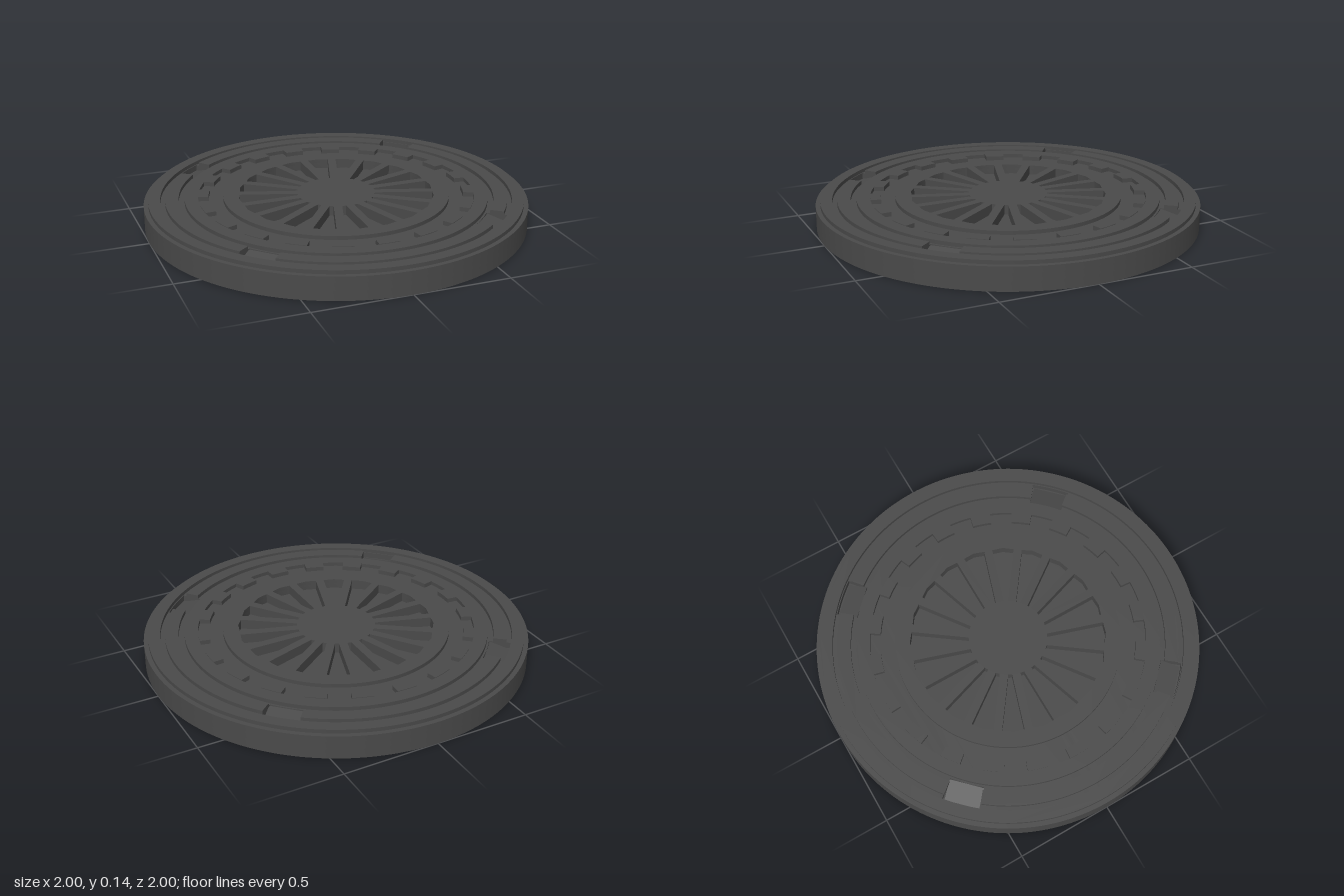
import * as THREE from 'three';
import { toCreasedNormals } from 'three/addons/utils/BufferGeometryUtils.js';

const iron = new THREE.MeshStandardMaterial({ color: 0x4a4a4a });
iron.name = 'dark cast iron';

const TAU = Math.PI * 2;
const BED = 0.122; // level of the channels between the raised rings

// Extrudes a plan outline upward from y0 to y1.
function slab(name, shape, y0, y1, segments = 64) {
  let geo = new THREE.ExtrudeGeometry(shape, { depth: y1 - y0, bevelEnabled: false, curveSegments: segments });
  geo.rotateX(-Math.PI / 2);
  geo.translate(0, y0, 0);
  geo = toCreasedNormals(geo, 0.5);
  const mesh = new THREE.Mesh(geo, iron);
  mesh.name = name;
  return mesh;
}

function disc(r) {
  const s = new THREE.Shape();
  s.absarc(0, 0, r, 0, TAU, false);
  return s;
}

function ring(r0, r1) {
  const s = disc(r1);
  s.holes.push(disc(r0));
  return s;
}

// Curved bar between two radii, centred on an angle.
function arcBar(r0, r1, mid, half) {
  const s = new THREE.Shape();
  s.absarc(0, 0, r1, mid - half, mid + half, false);
  s.absarc(0, 0, r0, mid + half, mid - half, true);
  s.closePath();
  return s;
}

// Tapered opening between two spokes of even width.
function spokeGap(angle) {
  const rib = 0.022;
  const step = Math.PI / 20;
  const at = (r, sign) => {
    const a = angle + sign * (step - Math.asin(rib / r));
    return new THREE.Vector2(r * Math.cos(a), r * Math.sin(a));
  };
  return new THREE.Shape([at(0.205, -1), at(0.505, -1), at(0.512, 0), at(0.505, 1), at(0.205, 1)]);
}

function rect(x0, z0, x1, z1) {
  return new THREE.Shape([
    new THREE.Vector2(x0, z0), new THREE.Vector2(x1, z0),
    new THREE.Vector2(x1, z1), new THREE.Vector2(x0, z1)]);
}

export function createModel() {
  const cover = new THREE.Group();
  cover.name = 'manholeCover';

  const gaps = Array.from({ length: 20 }, (_, i) => spokeGap((i + 0.5) * TAU / 20));
  const diagonals = [0, 1, 2, 3].map(i => Math.PI / 4 + i * Math.PI / 2);

  // Underside with two long grooves
  const underside = disc(1);
  for (const x of [-0.64, 0.64]) underside.holes.push(rect(x - 0.06, -0.67, x + 0.06, 0.67));
  cover.add(slab('underside', underside, 0, 0.05, 96));
  cover.add(slab('core', disc(1), 0.05, 0.09, 96));

  // Pads at the groove ends
  for (const x of [-0.64, 0.64]) for (const z of [-0.61, 0.61]) {
    cover.add(slab('groovePad', rect(x - 0.05, z - 0.05, x + 0.05, z + 0.05), 0.02, 0.05));
  }

  // Upper body, open at the spoke gaps and lifting pockets
  const upper = disc(1);
  upper.holes.push(...gaps, ...diagonals.map(a => arcBar(0.8, 0.91, a, 0.11)));
  cover.add(slab('upperBody', upper, 0.09, BED, 96));

  // Sloping floors of the lifting pockets
  const slope = new THREE.Shape([
    new THREE.Vector2(0.8, 0.088), new THREE.Vector2(0.91, 0.088), new THREE.Vector2(0.8, BED - 0.004)]);
  for (const a of diagonals) {
    const geo = new THREE.ExtrudeGeometry(slope, { depth: 0.18, bevelEnabled: false });
    geo.translate(0, 0, -0.09);
    const ramp = new THREE.Mesh(geo, iron);
    ramp.name = 'liftingPocketFloor';
    ramp.rotation.y = a;
    cover.add(ramp);
  }

  // Raised rim and middle ring
  cover.add(slab('rim', ring(0.915, 0.976), BED, 0.142, 96));
  cover.add(slab('middleRing', ring(0.72, 0.79), BED, 0.142, 96));

  // Four long curved bars
  for (let i = 0; i < 4; i++) {
    cover.add(slab('outerBar', arcBar(0.82, 0.89, i * Math.PI / 2, 0.68), BED, 0.142, 32));
  }

  // Ring of small teeth
  for (let i = 0; i < 20; i++) {
    cover.add(slab('tooth', arcBar(0.665, 0.72, i * TAU / 20, 0.075), BED, 0.145, 6));
  }

  // Spoked centre
  const wheel = disc(0.59);
  wheel.holes.push(...gaps);
  cover.add(slab('spokedCentre', wheel, BED, 0.142, 96));

  return cover;
}
